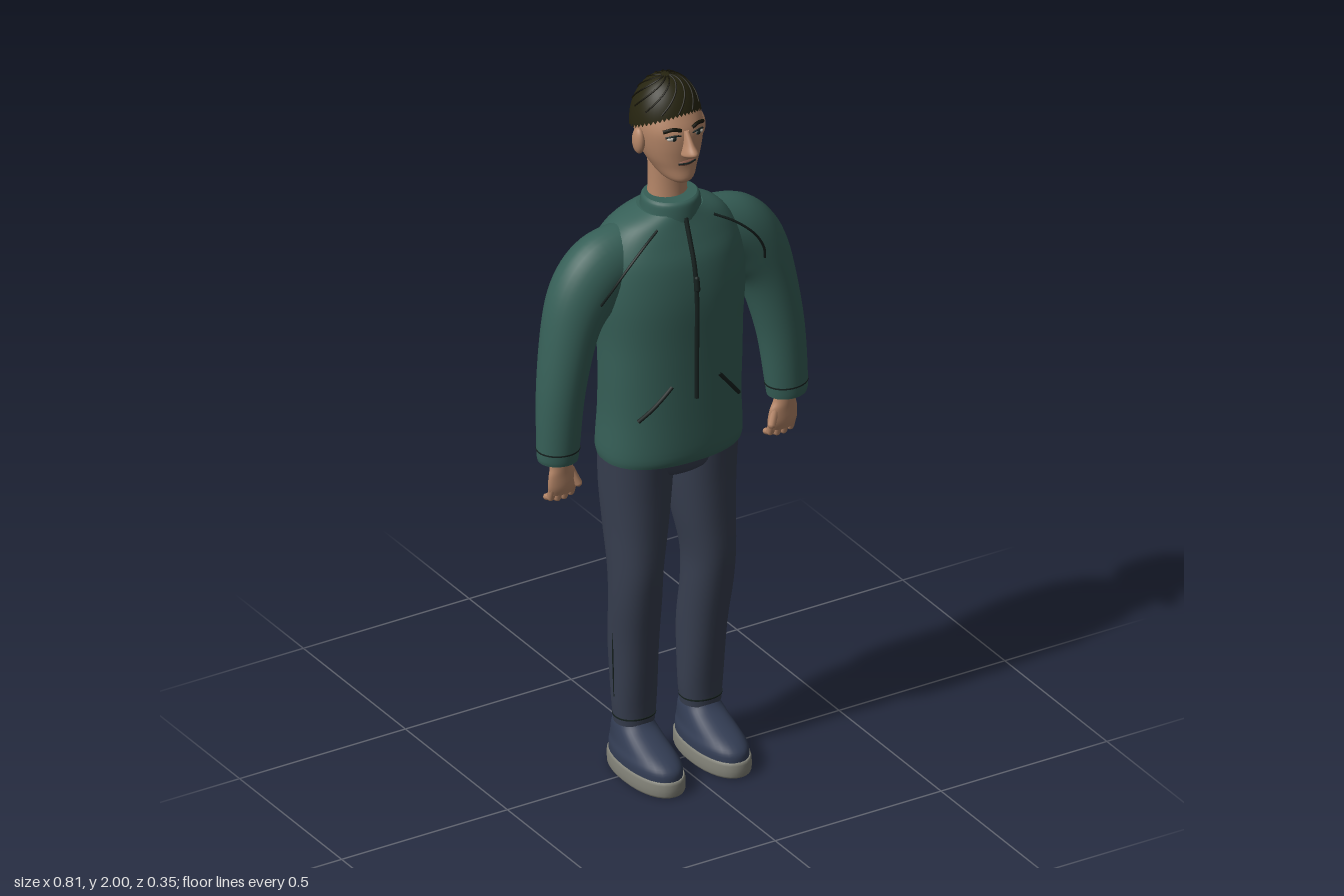
import * as THREE from 'three';

const mat = (name, color, side = THREE.FrontSide) => {
  const m = new THREE.MeshStandardMaterial({ color, side });
  m.name = name;
  return m;
};

// Catmull-Rom resampling of rows of numbers
function resample(rows, k) {
  const out = [];
  const last = rows.length - 1;
  for (let i = 0; i < last; i++) {
    const [p, a, b, q] = [rows[Math.max(0, i - 1)], rows[i], rows[i + 1], rows[Math.min(last, i + 2)]];
    for (let j = 0; j < k; j++) {
      const t = j / k;
      out.push(a.map((v, c) => v + 0.5 * t * (b[c] - p[c] + t * (2 * p[c] - 5 * v + 4 * b[c] - q[c]
        + t * (3 * (v - b[c]) + q[c] - p[c])))));
    }
  }
  out.push(rows[last]);
  return out;
}

// Closed loft, bottom to top; row = [cx, cy, tilt in degrees, half width, front z, back z]
function loft(rows, { k = 4, n = 2, sides = 32 } = {}) {
  const pos = [], idx = [];
  const pw = (v) => Math.sign(v) * Math.abs(v) ** (2 / n);
  const rings = resample(rows, k).map(([cx, cy, deg, r, zf, zb]) => {
    const a = deg * Math.PI / 180;
    return Array.from({ length: sides }, (_, j) => {
      const t = j / sides * Math.PI * 2;
      const w = r * pw(Math.cos(t));
      return [cx + Math.cos(a) * w, cy + Math.sin(a) * w, (zf + zb) / 2 + (zf - zb) / 2 * pw(Math.sin(t))];
    });
  });
  rings.forEach((ring) => ring.forEach((p) => pos.push(...p)));
  for (let i = 0; i < rings.length - 1; i++) {
    for (let j = 0; j < sides; j++) {
      const a = i * sides + j, b = i * sides + (j + 1) % sides;
      idx.push(a, a + sides, b, b, a + sides, b + sides);
    }
  }
  // end caps on their own vertices, for a crisp edge
  [rings[0], rings[rings.length - 1]].forEach((ring, top) => {
    const base = pos.length / 3;
    ring.forEach((p) => pos.push(...p));
    pos.push(...[0, 1, 2].map((c) => ring.reduce((s, p) => s + p[c], 0) / sides));
    for (let j = 0; j < sides; j++) {
      const a = base + j, b = base + (j + 1) % sides;
      idx.push(base + sides, ...(top ? [b, a] : [a, b]));
    }
  });
  const g = new THREE.BufferGeometry();
  g.setAttribute('position', new THREE.Float32BufferAttribute(pos, 3));
  g.setIndex(idx);
  g.computeVertexNormals();
  return g;
}

const upright = (cx, rows) => rows.map(([y, r, zf, zb]) => [cx, y, 0, r, zf, zb]);
const V = (p) => new THREE.Vector3(...p);
const cord = (pts, r, seg = 20) => new THREE.TubeGeometry(new THREE.CatmullRomCurve3(pts.map(V)), seg, r, 6);

// Torso profile: height, half width, front z, back z
const TORSO = [
  [0.93, 0.197, 0.108, -0.152], [0.96, 0.2, 0.115, -0.16], [1.06, 0.195, 0.115, -0.155],
  [1.18, 0.197, 0.115, -0.147], [1.28, 0.2, 0.116, -0.153], [1.4, 0.21, 0.117, -0.167],
  [1.5, 0.205, 0.105, -0.171], [1.56, 0.185, 0.085, -0.155], [1.605, 0.145, 0.068, -0.125],
  [1.635, 0.085, 0.058, -0.095],
];
const torsoFront = (x, y) => {
  const i = Math.max(0, TORSO.findIndex((r) => r[0] >= y) - 1);
  const t = (y - TORSO[i][0]) / (TORSO[i + 1][0] - TORSO[i][0]);
  const [, w, f, b] = TORSO[i].map((v, c) => v + (TORSO[i + 1][c] - v) * t);
  return (f + b) / 2 + (f - b) / 2 * (1 - (Math.abs(x) / w) ** 2.3) ** (1 / 2.3);
};

// Hair ellipsoid
const HAIR_C = [0, 1.87, -0.037], HAIR_R = [0.094, 0.13, 0.095];
const onHair = (theta, phi, grow = 1) => [
  HAIR_C[0] + grow * HAIR_R[0] * Math.sin(theta) * Math.cos(phi),
  HAIR_C[1] + grow * HAIR_R[1] * Math.cos(theta),
  HAIR_C[2] + grow * HAIR_R[2] * Math.sin(theta) * Math.sin(phi)];

function hairCap() {
  const g = new THREE.SphereGeometry(1, 48, 20);
  const { position: p, normal, uv } = g.attributes;
  for (let i = 0; i < p.count; i++) {
    const phi = Math.PI - uv.getX(i) * Math.PI * 2, s = Math.sin(phi);
    const limit = Math.acos(-0.02 + (s > 0 ? 0.38 : 0.25) * s);
    const q = onHair((1 - uv.getY(i)) * limit, phi);
    p.setXYZ(i, ...q);
    const nrm = V(q.map((v, c) => (v - HAIR_C[c]) / HAIR_R[c] ** 2)).normalize();
    normal.setXYZ(i, nrm.x, nrm.y, nrm.z);
  }
  return g;
}

export function createModel() {
  const root = new THREE.Group();
  root.name = 'standingMan';
  const skin = mat('skin', 0xb58668);
  const jacket = mat('jacketGreen', 0x365f57);
  const denim = mat('trouserBlue', 0x373e4f);
  const shoe = mat('shoeBlue', 0x333d54);
  const rubber = mat('soleGrey', 0x84847a);
  const hair = mat('hairBrown', 0x262410, THREE.DoubleSide);
  const strand = mat('hairShade', 0x141205);
  const trim = mat('darkTrim', 0x16211f);
  const white = mat('eyeWhite', 0xb9b3a8);
  const lip = mat('lip', 0x8d5c4c);

  const add = (name, geo, material, parent = root) => {
    const m = new THREE.Mesh(geo, material);
    m.name = name;
    parent.add(m);
    return m;
  };
  const ball = (name, material, p, s) => {
    const m = add(name, new THREE.SphereGeometry(1, 20, 14), material);
    m.position.set(...p);
    m.scale.set(...s);
  };
  const rod = (name, material, a, b, r, parent) => {
    const d = V(b).sub(V(a));
    const m = add(name, new THREE.CapsuleGeometry(r, d.length(), 4, 10), material, parent);
    m.position.copy(V(a)).addScaledVector(d, 0.5);
    m.quaternion.setFromUnitVectors(new THREE.Vector3(0, 1, 0), d.normalize());
  };

  // Jacket body, collar, zip
  add('jacketBody', loft(upright(0, TORSO), { n: 2.3, sides: 48 }), jacket);
  add('collar', loft(upright(0, [[1.6, 0.088, 0.066, -0.095], [1.635, 0.081, 0.064, -0.09],
    [1.66, 0.077, 0.06, -0.088], [1.668, 0.07, 0.052, -0.08]])), jacket);
  const zipY = [1.12, 1.2, 1.3, 1.4, 1.5, 1.56, 1.6, 1.625];
  add('zip', cord(zipY.map((y) => [0, y, torsoFront(0, y)]), 0.007, 40), trim);
  rod('zipPull', trim, [0, 1.47, 0.116], [0, 1.44, 0.12], 0.007);

  // Neck and head
  add('neck', loft(upright(0, [[1.62, 0.056, 0.022, -0.08], [1.7, 0.052, 0.016, -0.076],
    [1.78, 0.052, 0.016, -0.08]])), skin);
  add('head', loft(upright(0, [
    [1.727, 0.022, 0.06, 0.0], [1.74, 0.042, 0.07, -0.045], [1.77, 0.06, 0.068, -0.08],
    [1.8, 0.074, 0.069, -0.1], [1.84, 0.084, 0.071, -0.117], [1.88, 0.087, 0.067, -0.12],
    [1.92, 0.08, 0.046, -0.115], [1.95, 0.065, 0.028, -0.1], [1.98, 0.035, 0, -0.07]]), { n: 2.15 }), skin);
  add('nose', loft(upright(0, [[1.808, 0.012, 0.078, 0.05], [1.818, 0.02, 0.1, 0.05],
    [1.83, 0.018, 0.114, 0.05], [1.85, 0.012, 0.096, 0.05], [1.882, 0.008, 0.072, 0.05]])), skin);
  ball('lips', lip, [0, 1.789, 0.064], [0.025, 0.009, 0.009]);
  add('mouthLine', cord([[-0.026, 1.79, 0.067], [0, 1.79, 0.074], [0.026, 1.79, 0.067]], 0.0025), trim);

  // Hair with swirling locks from the crown
  add('hair', hairCap(), hair);
  for (let i = 0; i < 12; i++) {
    const pts = Array.from({ length: 7 }, (_, j) => onHair(0.12 + j * 0.17, i * Math.PI / 6 + j * 0.2, 1.002));
    add('hairLock', cord(pts, 0.0025), strand);
  }

  for (const s of [1, -1]) {
    const flip = (rows) => rows.map(([x, y, a, ...rest]) => [s * x, y, s * a, ...rest]);
    const mx = (pts) => pts.map(([x, y, z]) => [s * x, y, z]);

    // Face
    ball('ear', skin, [s * 0.091, 1.838, -0.022], [0.015, 0.037, 0.022]);
    ball('eye', white, [s * 0.037, 1.866, 0.058], [0.017, 0.007, 0.009]);
    ball('pupil', trim, [s * 0.036, 1.866, 0.063], [0.007, 0.007, 0.006]);
    add('eyelid', cord(mx([[0.017, 1.871, 0.066], [0.036, 1.875, 0.066], [0.056, 1.869, 0.053]]), 0.0025), trim);
    add('eyebrow', cord(mx([[0.016, 1.886, 0.066], [0.036, 1.892, 0.061], [0.06, 1.885, 0.048]]), 0.005), strand);

    // Sleeve and cuff
    add('sleeve', loft(flip([
      [0.345, 0.985, 2, 0.054, 0.043, -0.053], [0.344, 1.02, 2, 0.058, 0.046, -0.057],
      [0.33, 1.18, 8, 0.065, 0.049, -0.078], [0.295, 1.34, 15, 0.077, 0.048, -0.102],
      [0.253, 1.43, 40, 0.096, 0.048, -0.114], [0.2, 1.483, 70, 0.104, 0.046, -0.115],
      [0.12, 1.505, 88, 0.1, 0.04, -0.11]]), { k: 6 }), jacket);
    add('cuffSeam', loft(flip([[0.344, 1.015, 2, 0.0592, 0.0472, -0.0582],
      [0.344, 1.019, 2, 0.0592, 0.0472, -0.0582]]), { k: 1 }), trim);
    add('shoulderSeam', cord(mx([[0.085, 1.61, 0.06], [0.14, 1.58, 0.078], [0.195, 1.53, 0.083],
      [0.23, 1.475, 0.07], [0.247, 1.43, 0.048]]), 0.0035), trim);
    add('pocketSlit', cord([0, 1, 2, 3].map((i) => {
      const x = 0.07 + i * 0.027, y = 1.17 - i * 0.032;
      return [s * x, y, torsoFront(x, y)];
    }), 0.006), trim);

    // Hand with curled fingers
    const hand = new THREE.Group();
    hand.name = 'hand';
    root.add(hand);
    add('palm', loft(flip([[0.331, 0.882, 0, 0.036, 0.008, -0.022], [0.331, 0.905, 0, 0.043, 0.014, -0.022],
      [0.333, 0.94, 0, 0.04, 0.016, -0.02], [0.337, 0.965, 0, 0.031, 0.018, -0.024],
      [0.34, 1.0, 0, 0.03, 0.02, -0.028]]), { sides: 20 }), skin, hand);
    for (let i = 0; i < 4; i++) {
      const x = s * (0.301 + i * 0.02), y = 0.872 - (i === 1 || i === 2 ? 0.006 : 0);
      rod('finger', skin, [x, 0.9, -0.004], [x, y, -0.014], 0.0105, hand);
      rod('fingerTip', skin, [x, y, -0.014], [x, y - 0.008, -0.034], 0.009, hand);
    }
    rod('thumb', skin, [s * 0.307, 0.94, 0], [s * 0.292, 0.905, 0.008], 0.011, hand);

    // Trouser leg, hem and side seam
    add('trouserLeg', loft(flip([
      [0.1, 0.14, 0, 0.054, 0.018, -0.076], [0.1, 0.21, 0, 0.06, 0.022, -0.083],
      [0.103, 0.37, 0, 0.063, 0.04, -0.097], [0.108, 0.5, 0, 0.066, 0.06, -0.083],
      [0.109, 0.6, 0, 0.068, 0.071, -0.088], [0.101, 0.72, 0, 0.08, 0.071, -0.115],
      [0.097, 0.84, 0, 0.09, 0.073, -0.132], [0.097, 0.96, 0, 0.094, 0.08, -0.13]]), { n: 2.2 }), denim);
    add('trouserHem', loft(flip([[0.1, 0.158, 0, 0.0572, 0.0212, -0.0795],
      [0.1, 0.162, 0, 0.0575, 0.0215, -0.08]]), { k: 1, n: 2.2 }), trim);
    add('sideSeam', cord(mx([[0.159, 0.22, -0.03], [0.164, 0.33, -0.028], [0.167, 0.45, -0.025]]), 0.0025), trim);

    // Shoe
    add('sole', loft(flip([[0.1, 0, 0, 0.066, 0.17, -0.112], [0.1, 0.008, 0, 0.071, 0.177, -0.118],
      [0.1, 0.038, 0, 0.071, 0.177, -0.118], [0.1, 0.045, 0, 0.068, 0.173, -0.115]]), { n: 2.2, k: 2 }), rubber);
    add('shoeUpper', loft(flip([[0.1, 0.04, 0, 0.066, 0.17, -0.114], [0.1, 0.065, 0, 0.066, 0.166, -0.113],
      [0.1, 0.085, 0, 0.06, 0.14, -0.11], [0.1, 0.11, 0, 0.055, 0.078, -0.104],
      [0.1, 0.13, 0, 0.051, 0.035, -0.096], [0.1, 0.146, 0, 0.046, 0.016, -0.086]]), { n: 2.2 }), shoe);
  }

  // Seat of the trousers, joining the legs
  add('trouserSeat', loft(upright(0, [[0.862, 0.03, 0.03, -0.08], [0.875, 0.09, 0.06, -0.11],
    [0.9, 0.175, 0.074, -0.128], [0.96, 0.19, 0.08, -0.13]]), { n: 2.4 }), denim);
  return root;
}
